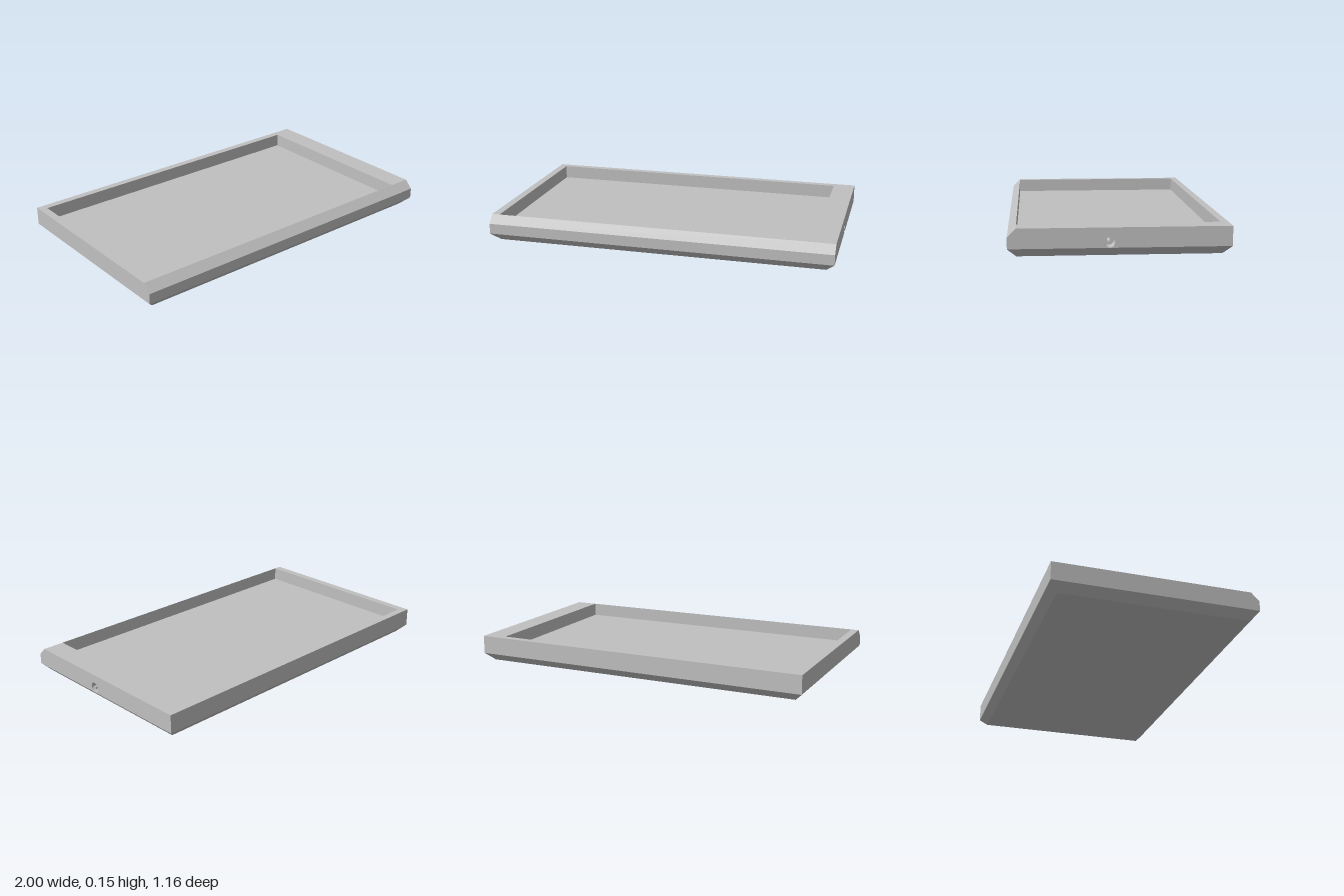
import * as THREE from 'three';

const X = 1, Z = 0.58, H = 0.152;         // outer half sizes and height
const BEVEL = 0.046;                      // chamfer width
const ZB = Z - BEVEL, XB = X - BEVEL;     // inner ends of the chamfers
const FLOOR = 0.073;                      // height of the tray floor
const PX0 = -0.955, PX1 = 0.872, PZ0 = -0.538, PZ1 = ZB; // pocket limits
const PORT = { z: 0.057, y: 0.076, r: 0.0285, depth: 0.08 };

export function createModel() {
  const model = new THREE.Group();
  const grey = new THREE.MeshStandardMaterial({ color: 0xc0c0c0 });
  grey.name = 'light grey';

  const add = (name, geometry) => {
    const mesh = new THREE.Mesh(geometry, grey);
    mesh.name = name;
    model.add(mesh);
    return mesh;
  };

  // flat four-cornered face, corners counter-clockwise from outside
  const quad = (name, a, b, c, d) => {
    const g = new THREE.BufferGeometry();
    g.setAttribute('position', new THREE.Float32BufferAttribute([a, b, c, a, c, d].flat(), 3));
    g.computeVertexNormals();
    return add(name, g);
  };
  const shapeOf = (pts) => new THREE.Shape(pts.map(([u, v]) => new THREE.Vector2(u, v)));
  const corners = (x0, x1, z0, z1, y) => [[x0, y, z1], [x1, y, z1], [x1, y, z0], [x0, y, z0]];

  // underside and the chamfer around it
  const low = corners(-XB, XB, -ZB, ZB, 0);
  const mid = corners(-X, X, -Z, Z, BEVEL);
  quad('underside', low[3], low[2], low[1], low[0]);
  for (let i = 0; i < 4; i++) {
    const j = (i + 1) % 4;
    quad('lowerChamfer', low[i], low[j], mid[j], mid[i]);
  }

  // front and back walls, front upper chamfer
  const step = H - BEVEL;
  quad('frontWall', mid[0], mid[1], [X, step, Z], [-X, step, Z]);
  quad('frontUpperChamfer', [-X, step, Z], [X, step, Z], [X, H, ZB], [-X, H, ZB]);
  quad('backWall', mid[2], mid[3], [-X, H, -Z], [X, H, -Z]);

  // side walls; the left one has a round socket opening
  const side = (s) => shapeOf([[-Z, BEVEL], [Z, BEVEL], [Z, step], [ZB, H], [-Z, H]].map(([z, y]) => [s * z, y]));
  const portWall = side(-1);
  const hole = new THREE.Path();
  hole.absarc(-PORT.z, PORT.y, PORT.r, 0, Math.PI * 2, true);
  portWall.holes.push(hole);
  add('leftWall', new THREE.ShapeGeometry(portWall, 24).rotateY(Math.PI / 2).translate(X, 0, 0));
  add('rightWall', new THREE.ShapeGeometry(side(1)).rotateY(-Math.PI / 2).translate(-X, 0, 0));

  // top rim, open towards the front chamfer
  const rim = shapeOf([
    [-X, -ZB], [PX0, -PZ1], [PX0, -PZ0], [PX1, -PZ0], [PX1, -PZ1], [X, -ZB], [X, Z], [-X, Z],
  ]);
  add('topRim', new THREE.ShapeGeometry(rim).rotateX(-Math.PI / 2).translate(0, H, 0));

  // pocket floor and inner walls
  const f = corners(PX0, PX1, PZ0, PZ1, FLOOR);
  const t = corners(PX0, PX1, PZ0, PZ1, H);
  quad('trayFloor', ...f);
  for (let i = 0; i < 4; i++) {
    const j = (i + 1) % 4;
    quad('innerWall', f[j], f[i], t[i], t[j]);
  }

  // socket: sleeve seen from inside, end disc and centre pin
  const sleeve = new THREE.CylinderGeometry(PORT.r, PORT.r, PORT.depth, 48, 1, true);
  sleeve.scale(-1, 1, 1).rotateZ(-Math.PI / 2); // mirrored so it faces inwards
  sleeve.getAttribute('normal').array.forEach((v, i, arr) => { arr[i] = -v; });
  add('socketSleeve', sleeve).position.set(X - PORT.depth / 2, PORT.y, PORT.z);
  add('socketEnd', new THREE.CircleGeometry(PORT.r, 48).rotateY(Math.PI / 2))
    .position.set(X - PORT.depth, PORT.y, PORT.z);
  add('socketPin', new THREE.CylinderGeometry(0.009, 0.009, PORT.depth, 24).rotateZ(-Math.PI / 2))
    .position.set(X - PORT.depth / 2, PORT.y, PORT.z);

  return model;
}
